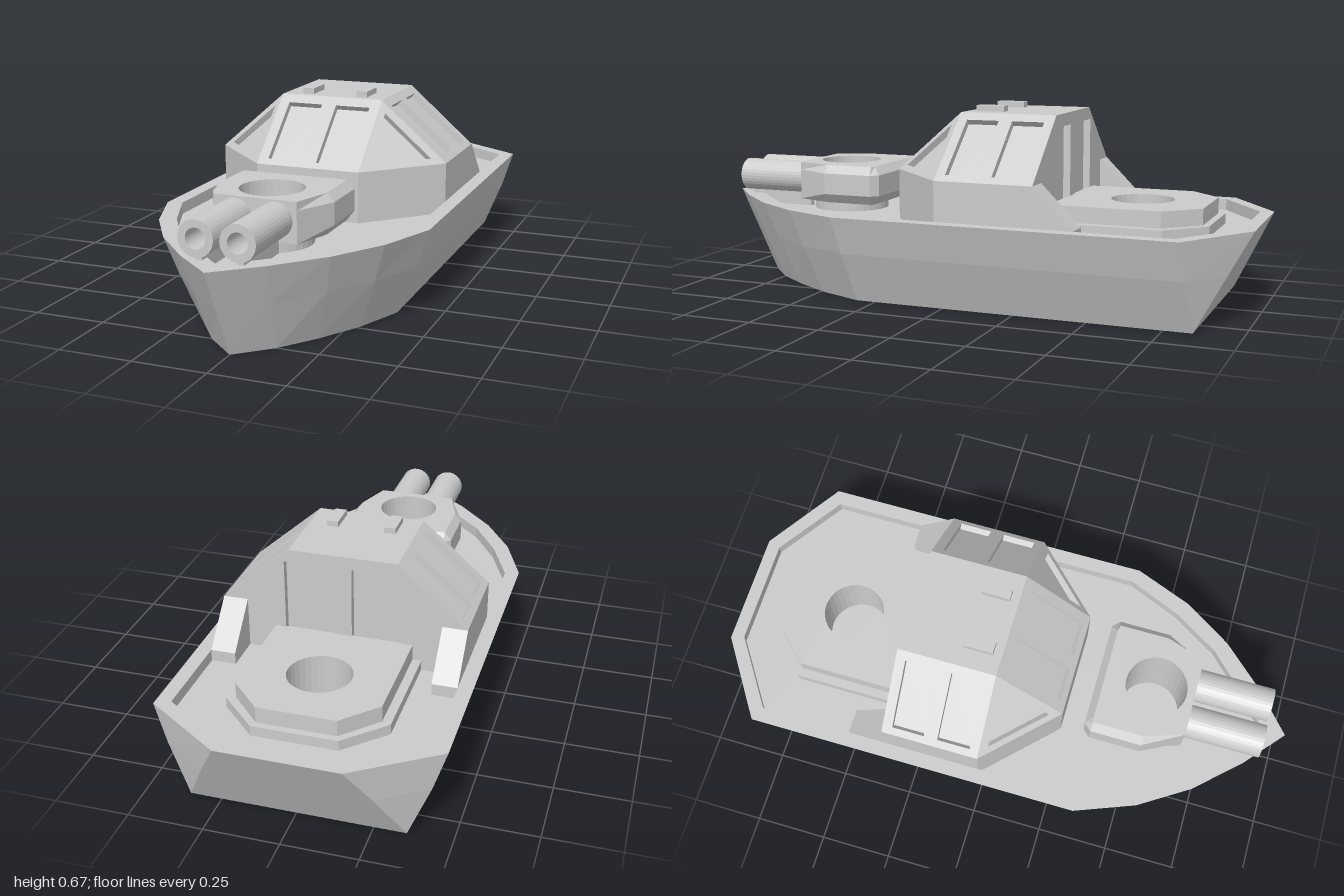
import * as THREE from 'three';

const mat = new THREE.MeshStandardMaterial({ color: 0xcccccc, flatShading: true, side: THREE.DoubleSide });

// Half outline [x, z] from bow to stern -> full closed outline
const mirror = half => [...half, ...half.filter(p => p[0] > 0).reverse().map(([x, z]) => [-x, z])];
const square = (s, zc) => [[s, zc + s], [s, zc - s], [-s, zc - s], [-s, zc + s]];
const circle = (r, zc, n = 32) => Array.from({ length: n }, (_, i) => {
  const a = (i / n) * Math.PI * 2;
  return [r * Math.cos(a), zc - r * Math.sin(a)];
});
const toShape = (pts, holes = []) => {
  const s = new THREE.Shape(pts.map(p => new THREE.Vector2(p[0], p[1])));
  s.holes = holes.map(h => new THREE.Path(h.map(p => new THREE.Vector2(p[0], p[1]))));
  return s;
};
const flip = pts => pts.map(([x, z]) => [x, -z]);

function add(parent, name, geo) {
  const m = new THREE.Mesh(geo, mat);
  m.name = name;
  parent.add(m);
  return m;
}
function box(parent, name, w, h, d, x, y, z) {
  return add(parent, name, new THREE.BoxGeometry(w, h, d).translate(x, y, z));
}
// Horizontal plate with holes
function plate(parent, name, pts, holes, y, down = false) {
  const g = down
    ? new THREE.ShapeGeometry(toShape(pts, holes)).rotateX(Math.PI / 2)
    : new THREE.ShapeGeometry(toShape(flip(pts), holes.map(flip))).rotateX(-Math.PI / 2);
  return add(parent, name, g.translate(0, y, 0));
}
// Upright slab with holes
function slab(parent, name, pts, holes, y0, y1) {
  const g = new THREE.ExtrudeGeometry(toShape(flip(pts), holes.map(flip)), { depth: y1 - y0, bevelEnabled: false });
  return add(parent, name, g.rotateX(-Math.PI / 2).translate(0, y0, 0));
}
// Walls between stacked rings: [{ y, pts }], lowest first
function loft(parent, name, rings) {
  const v = [];
  for (let k = 0; k + 1 < rings.length; k++) {
    const lo = rings[k], hi = rings[k + 1], n = lo.pts.length;
    for (let i = 0; i < n; i++) {
      const j = (i + 1) % n;
      const P = (r, q) => [r.pts[q][0], r.y, r.pts[q][1]];
      const [a, b, c, d] = [P(lo, i), P(lo, j), P(hi, j), P(hi, i)];
      v.push(...a, ...b, ...c, ...a, ...c, ...d);
    }
  }
  const g = new THREE.BufferGeometry();
  g.setAttribute('position', new THREE.Float32BufferAttribute(v, 3));
  g.computeVertexNormals();
  return add(parent, name, g);
}
// Flat wall with recessed windows; window corners are fractions along the
// edges from the first corner to the second and to the last
function panel(parent, name, corners, windows, depth = 0.022) {
  const c = corners.map(p => new THREE.Vector3(...p));
  const e1 = c[1].clone().sub(c[0]), e2 = c[c.length - 1].clone().sub(c[0]);
  const u = e1.clone().normalize();
  const n = e1.clone().cross(e2).normalize();
  const w = n.clone().cross(u);
  const flat = p => [p.dot(u), p.dot(w)];
  const outline = c.map(p => flat(p.clone().sub(c[0])));
  const holes = windows.map(win => win.map(([a, b]) =>
    flat(e1.clone().multiplyScalar(a).addScaledVector(e2, b))));
  const m = new THREE.Matrix4().makeBasis(u, w, n).setPosition(c[0]);
  const frame = new THREE.ExtrudeGeometry(toShape(outline, holes), { depth, bevelEnabled: false });
  add(parent, name, frame.translate(0, 0, -depth).applyMatrix4(m));
  holes.forEach(h => add(parent, name + 'Pane',
    new THREE.ShapeGeometry(toShape(h)).translate(0, 0, -depth).applyMatrix4(m)));
}
const rect = (a0, a1, b0, b1) => [[a0, b0], [a1, b0], [a1, b1], [a0, b1]];

function buildHull() {
  const g = new THREE.Group();
  g.name = 'hull';
  const top = mirror([[0, 1], [0.14, 0.88], [0.28, 0.73], [0.39, 0.56], [0.47, 0.355], [0.47, -0.82], [0.2, -1]]);
  const low = mirror([[0, 0.85], [0.11, 0.75], [0.2, 0.63], [0.285, 0.49], [0.355, 0.32], [0.355, -0.845], [0.355, -0.845]]);
  const mid = top.map(([x, z], i) => [
    (low[i][0] + (x - low[i][0]) * 0.574) * 1.015, low[i][1] + (z - low[i][1]) * 0.574]);
  const inner = mirror([[0, 0.92], [0.11, 0.82], [0.24, 0.69], [0.34, 0.53], [0.42, 0.34], [0.42, -0.795], [0.185, -0.955]]);
  loft(g, 'hullSides', [{ y: 0, pts: low }, { y: 0.175, pts: mid }, { y: 0.305, pts: top }]);
  plate(g, 'rail', top, [inner], 0.305);
  loft(g, 'railInside', [{ y: 0.265, pts: inner }, { y: 0.305, pts: inner }]);
  const wells = [0.52, -0.59];
  plate(g, 'deck', inner, wells.map(z => circle(0.107, z)), 0.265);
  // Round wells under the two mounts, and tapered sockets in the keel
  for (const z of wells) {
    const c = circle(0.107, z);
    loft(g, 'mountWell', [{ y: 0.17, pts: c }, { y: 0.265, pts: c }]);
    plate(g, 'mountWellFloor', c, [], 0.17);
  }
  const sockets = [0.53, -0.54];
  plate(g, 'hullBottom', low.filter((p, i) => i !== 6 && i !== 7), sockets.map(z => square(0.125, z)), 0, true);
  for (const z of sockets) {
    loft(g, 'keelSocket', [{ y: 0, pts: square(0.125, z) }, { y: 0.1, pts: square(0.065, z) }]);
    plate(g, 'keelSocketTop', square(0.065, z), [], 0.1, true);
  }
  return g;
}

function buildCabin() {
  const g = new THREE.Group();
  g.name = 'cabin';
  const W = 0.42, R = 0.185, Y = 0.44, T = 0.645, F = 0.235, B = -0.34;
  slab(g, 'cabinBase', mirror([[R, F], [W, 0], [W, B + 0.025]]), [], 0.26, Y);
  panel(g, 'windscreen', [[-R, Y, F], [R, Y, F], [R, T, 0], [-R, T, 0]],
    [rect(0.095, 0.43, 0.08, 0.88), rect(0.57, 0.905, 0.08, 0.88)]);
  panel(g, 'roof', [[-R, T, 0], [R, T, 0], [R, T, B], [-R, T, B]], []);
  panel(g, 'rearWall', [[W, 0.26, B], [-W, 0.26, B], [-W, Y, B], [-R, T, B], [R, T, B], [W, Y, B]],
    [rect(0.26, 0.465, 0.4, 1.9), rect(0.535, 0.74, 0.4, 1.9)], 0.025);
  for (const s of [1, -1]) {
    const half = new THREE.Group();
    half.name = s > 0 ? 'cabinLeft' : 'cabinRight';
    half.scale.x = s;
    panel(half, 'cornerWindow', [[R, Y, F], [W, Y, 0], [R, T, 0]],
      [[[0.09, 0.09], [0.8, 0.09], [0.09, 0.8]]]);
    panel(half, 'sideWindows', [[W, Y, 0], [W, Y, B], [R, T, B], [R, T, 0]],
      [rect(0.095, 0.43, 0.09, 0.89), rect(0.57, 0.9, 0.09, 0.89)]);
    // Sloping buttress behind the cabin
    const fin = toShape([[0.34, 0.26], [0.475, 0.26], [0.475, 0.305], [0.34, Y]]);
    add(half, 'rearButtress', new THREE.ExtrudeGeometry(fin, { depth: 0.085, bevelEnabled: false })
      .rotateY(Math.PI / 2).translate(0.335, 0, 0));
    box(half, 'roofBlock', 0.04, 0.03, 0.1, 0.1, 0.65, -0.08);
    g.add(half);
  }
  return g;
}

function buildTurret() {
  const g = new THREE.Group();
  g.name = 'turret';
  const full = mirror([[0.14, 0.655], [0.21, 0.52], [0.21, 0.34], [0.185, 0.315]]);
  const inset = mirror([[0.14, 0.655], [0.185, 0.52], [0.185, 0.345], [0.165, 0.34]]);
  const hole = circle(0.107, 0.52);
  loft(g, 'turretBody', [{ y: 0.305, pts: inset }, { y: 0.338, pts: full },
    { y: 0.412, pts: full }, { y: 0.44, pts: inset }]);
  plate(g, 'turretTop', inset, [hole], 0.44);
  plate(g, 'turretUnderside', inset, [hole], 0.305, true);
  loft(g, 'turretHole', [{ y: 0.265, pts: hole }, { y: 0.44, pts: hole }]);
  slab(g, 'turretNeck', circle(0.135, 0.52), [hole], 0.26, 0.305);
  // Twin barrels with open bores
  for (const x of [-0.068, 0.068]) {
    const ring = toShape(circle(0.058, 0), [circle(0.033, 0)]);
    add(g, 'barrel', new THREE.ExtrudeGeometry(ring, { depth: 0.27, bevelEnabled: false }).translate(x, 0.376, 0.65));
    box(g, 'barrelRib', 0.02, 0.055, 0.25, x, 0.2975, 0.775);
  }
  return g;
}

function buildAftMount() {
  const g = new THREE.Group();
  g.name = 'aftMount';
  const hole = circle(0.107, -0.59);
  slab(g, 'mountStep', mirror([[0.268, -0.335], [0.268, -0.72], [0.14, -0.845]]), [hole], 0.26, 0.3);
  slab(g, 'mountPad', mirror([[0.238, -0.335], [0.238, -0.71], [0.13, -0.822]]), [hole], 0.3, 0.355);
  return g;
}

export function createModel() {
  const model = new THREE.Group();
  model.name = 'patrolBoat';
  model.add(buildHull(), buildCabin(), buildTurret(), buildAftMount());
  return model;
}
